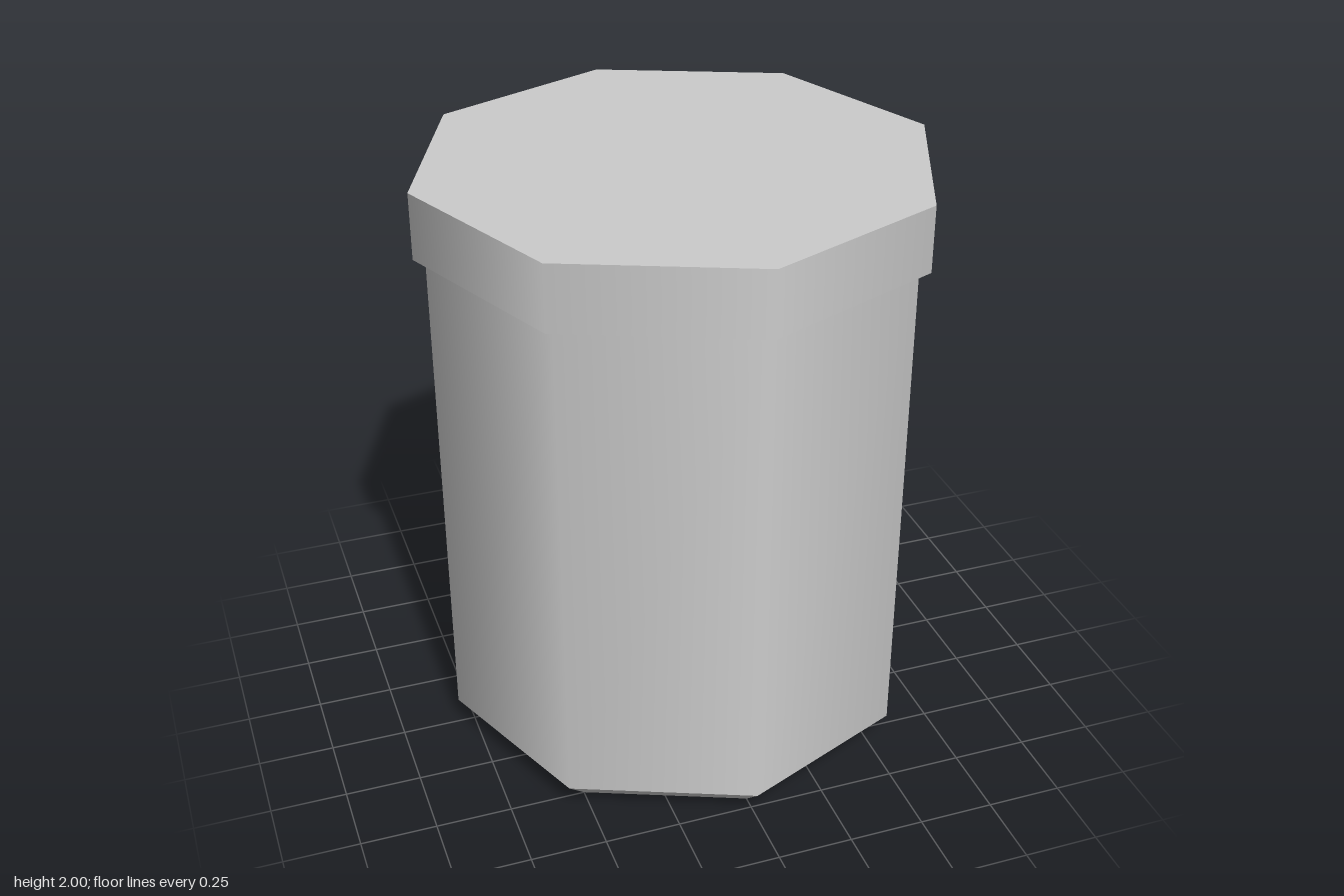
import * as THREE from 'three';

const SIDES = 8;

export function createModel() {
  const model = new THREE.Group();
  const material = new THREE.MeshStandardMaterial({ color: 0xcccccc });

  // Octagonal section with smooth sides; corners lie on the x and z axes
  function addSection(name, topRadius, bottomRadius, y0, y1, open = false) {
    const geometry = new THREE.CylinderGeometry(topRadius, bottomRadius, y1 - y0, SIDES, 1, open);
    const mesh = new THREE.Mesh(geometry, material);
    mesh.name = name;
    mesh.position.y = (y0 + y1) / 2;
    model.add(mesh);
  }

  // Bevelled foot, closed underneath
  addSection('base', 0.803, 0.707, 0, 0.092);
  // Straight wall, closed off by the base and the lid
  addSection('body', 0.803, 0.803, 0.092, 1.783, true);
  // Wider lid whose rim overhangs the body
  addSection('lid', 0.841, 0.841, 1.783, 2);

  return model;
}
